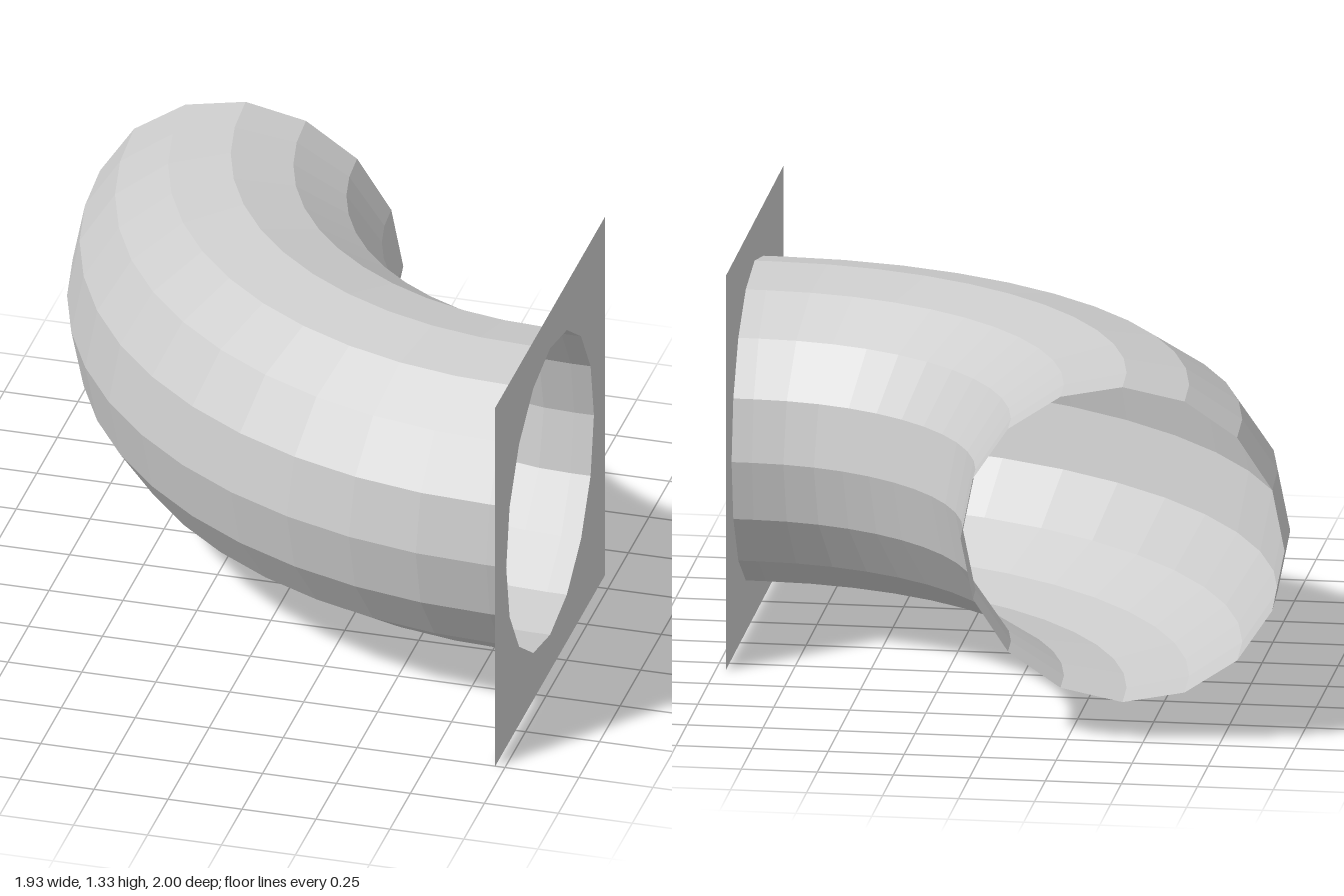
import * as THREE from 'three';

const SIDES = 16;
const PIPE_R = 0.533;      // pipe radius
const BEND_R = 1.333;      // radius of the bend's centre line
const HALF = 0.667;        // half the flange width, also the pipe axis height
const BEND_X = 0.9;        // bend centre
const BEND_Z = -1;
const FLANGE_X = 0.967;

export function createModel() {
  const group = new THREE.Group();
  const material = new THREE.MeshStandardMaterial({
    color: 0xcccccc, flatShading: true, side: THREE.DoubleSide,
  });

  function add(name, geometry, x, y, z) {
    const flat = geometry.index ? geometry.toNonIndexed() : geometry;
    flat.computeVertexNormals();
    const mesh = new THREE.Mesh(flat, material);
    mesh.name = name;
    mesh.position.set(x, y, z);
    group.add(mesh);
  }

  // Quarter-turn open pipe, lying flat
  const bend = new THREE.TorusGeometry(BEND_R, PIPE_R, SIDES, 12, Math.PI / 2);
  bend.rotateX(Math.PI / 2).rotateY(-Math.PI / 2);
  add('pipeBend', bend, BEND_X, HALF, BEND_Z);

  // Short straight length between the bend and the flange
  const length = FLANGE_X - BEND_X;
  const collar = new THREE.CylinderGeometry(PIPE_R, PIPE_R, length, SIDES, 1, true);
  collar.rotateZ(Math.PI / 2);
  add('pipeCollar', collar, BEND_X + length / 2, HALF, BEND_Z + BEND_R);

  // Thin square flange with the pipe opening cut out
  const square = new THREE.Shape([
    new THREE.Vector2(-HALF, -HALF), new THREE.Vector2(HALF, -HALF),
    new THREE.Vector2(HALF, HALF), new THREE.Vector2(-HALF, HALF),
  ]);
  const opening = [];
  for (let i = 0; i < SIDES; i++) {
    const a = -i / SIDES * Math.PI * 2;
    opening.push(new THREE.Vector2(Math.cos(a) * PIPE_R, Math.sin(a) * PIPE_R));
  }
  square.holes.push(new THREE.Path(opening));
  const flange = new THREE.ShapeGeometry(square);
  flange.rotateY(Math.PI / 2);
  add('flangePlate', flange, FLANGE_X, HALF, BEND_Z + BEND_R);

  return group;
}
